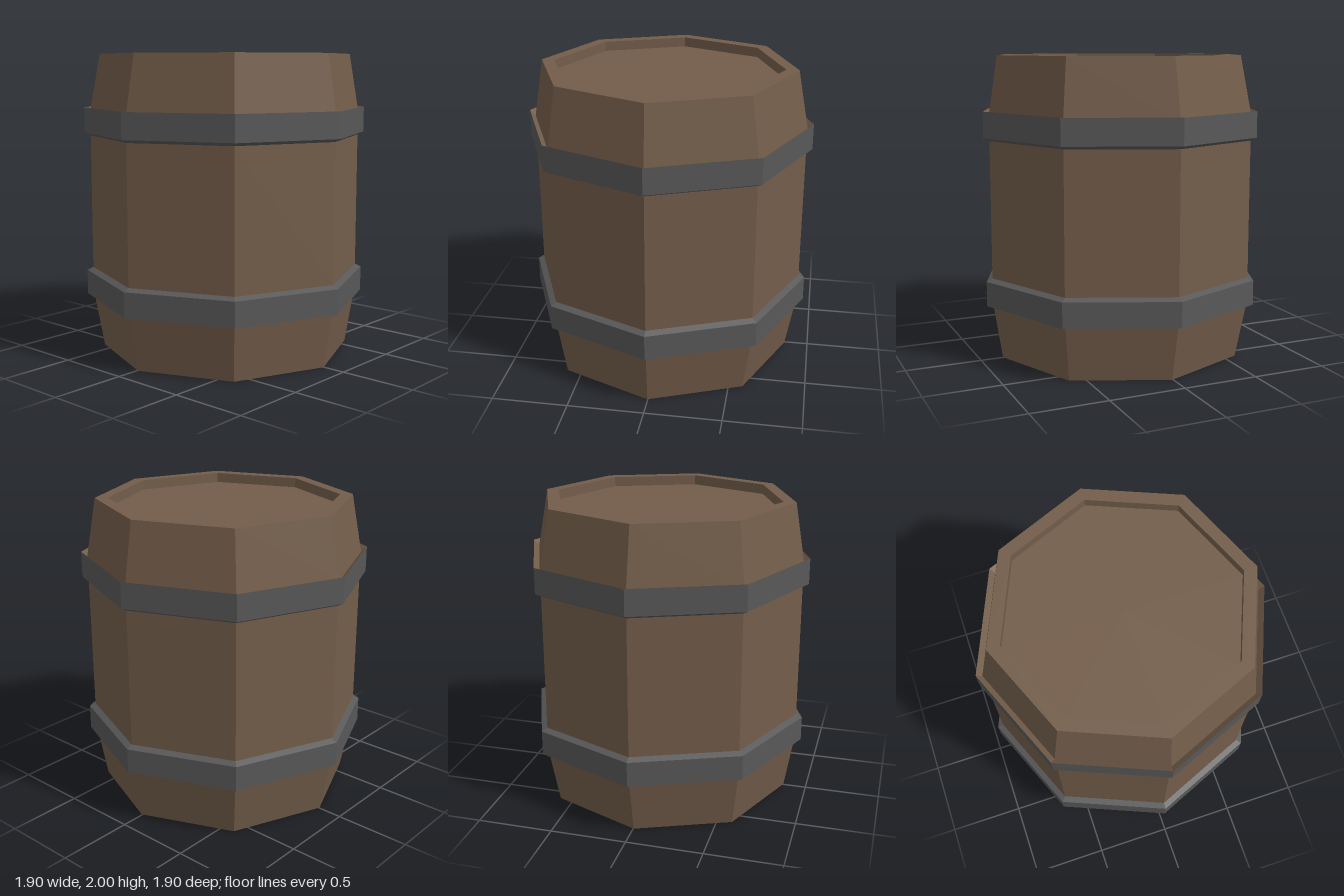
import * as THREE from 'three';

const SIDES = 8;

// Faceted ring or shell swept around the y axis; the profile runs bottom to top as [radius, height].
function facetedLathe(profile) {
  const points = profile.map(([r, y]) => new THREE.Vector2(r, y));
  const geometry = new THREE.LatheGeometry(points, SIDES).toNonIndexed();
  // The barrel ends sit very slightly off centre.
  const pos = geometry.attributes.position;
  for (let i = 0; i < pos.count; i++) {
    const y = pos.getY(i);
    if (y < 0.2 || y > 1.8) {
      pos.setX(i, pos.getX(i) + 0.007);
      pos.setZ(i, pos.getZ(i) + 0.003);
    }
  }
  geometry.computeVertexNormals(); // unshared corners give flat facets
  return geometry;
}

export function createModel() {
  const wood = new THREE.MeshStandardMaterial({ color: 0x735d4a });
  wood.name = 'brown wood';
  const iron = new THREE.MeshStandardMaterial({ color: 0x585858 });
  iron.name = 'dark iron';

  const barrel = new THREE.Group();
  barrel.name = 'barrel';
  const add = (name, profile, material) => {
    const mesh = new THREE.Mesh(facetedLathe(profile), material);
    mesh.name = name;
    barrel.add(mesh);
  };

  // Base, tapered lower staves and the groove under the lower hoop
  add('lowerStaves', [[0, 0], [0.842, 0], [0.912, 0.4], [0.95, 0.365]], wood);
  // Hoops, each bevelled towards the middle of the barrel
  add('lowerHoop', [[0.95, 0.365], [0.95, 0.53], [0.91, 0.55]], iron);
  add('upperHoop', [[0.91, 1.455], [0.95, 1.475], [0.95, 1.645]], iron);
  // Straight middle staves
  add('middleStaves', [[0.91, 0.55], [0.91, 1.455]], wood);
  // Groove above the upper hoop, tapered upper staves and the rim
  add('upperStaves', [[0.95, 1.645], [0.912, 1.61], [0.842, 2], [0.758, 2]], wood);
  // Sunken lid with its upright inner wall
  add('lid', [[0.758, 2], [0.758, 1.935], [0, 1.935]], wood);

  return barrel;
}
